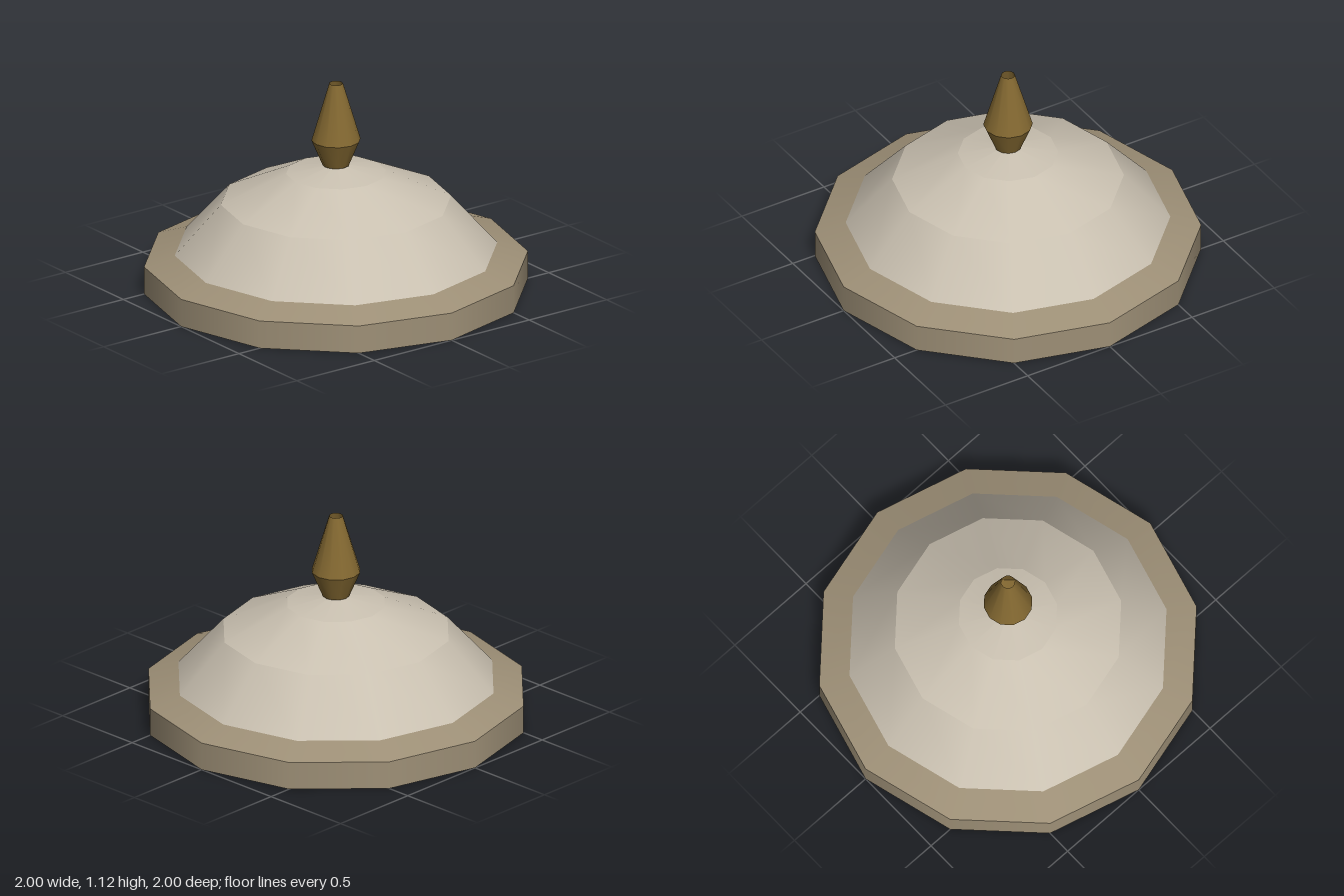
import * as THREE from 'three';

const SIDES = 12;

const material = (name, color) => {
  const m = new THREE.MeshStandardMaterial({ color });
  m.name = name;
  return m;
};

// One lathe per profile segment: smooth around, creased between bands
function bands(name, profile, mat) {
  const group = new THREE.Group();
  group.name = name;
  for (let i = 0; i < profile.length - 1; i++) {
    const points = [profile[i], profile[i + 1]].map(([r, y]) => new THREE.Vector2(r, y));
    const mesh = new THREE.Mesh(new THREE.LatheGeometry(points, SIDES), mat);
    mesh.name = `${name}Band${i + 1}`;
    group.add(mesh);
  }
  return group;
}

export function createModel() {
  const tan = material('tan rim', 0x9e9077);
  const cream = material('pale dome', 0xcac1b1);
  const brass = material('aged brass', 0x836831);
  brass.side = THREE.DoubleSide; // the finial is an open tube

  const model = new THREE.Group();
  model.name = 'domedLid';
  model.add(
    // Closed base, upright edge and sloping shoulder
    bands('rim', [[0, 0], [1, 0], [1, 0.15], [0.84, 0.205]], tan),
    // Faceted dome closing at its apex
    bands('dome', [[0.84, 0.205], [0.6, 0.475], [0.26, 0.63], [0, 0.68]], cream),
    // Hollow finial, flared then tapering
    bands('finial', [[0.07, 0.672], [0.128, 0.81], [0.036, 1.12]], brass)
  );
  return model;
}
